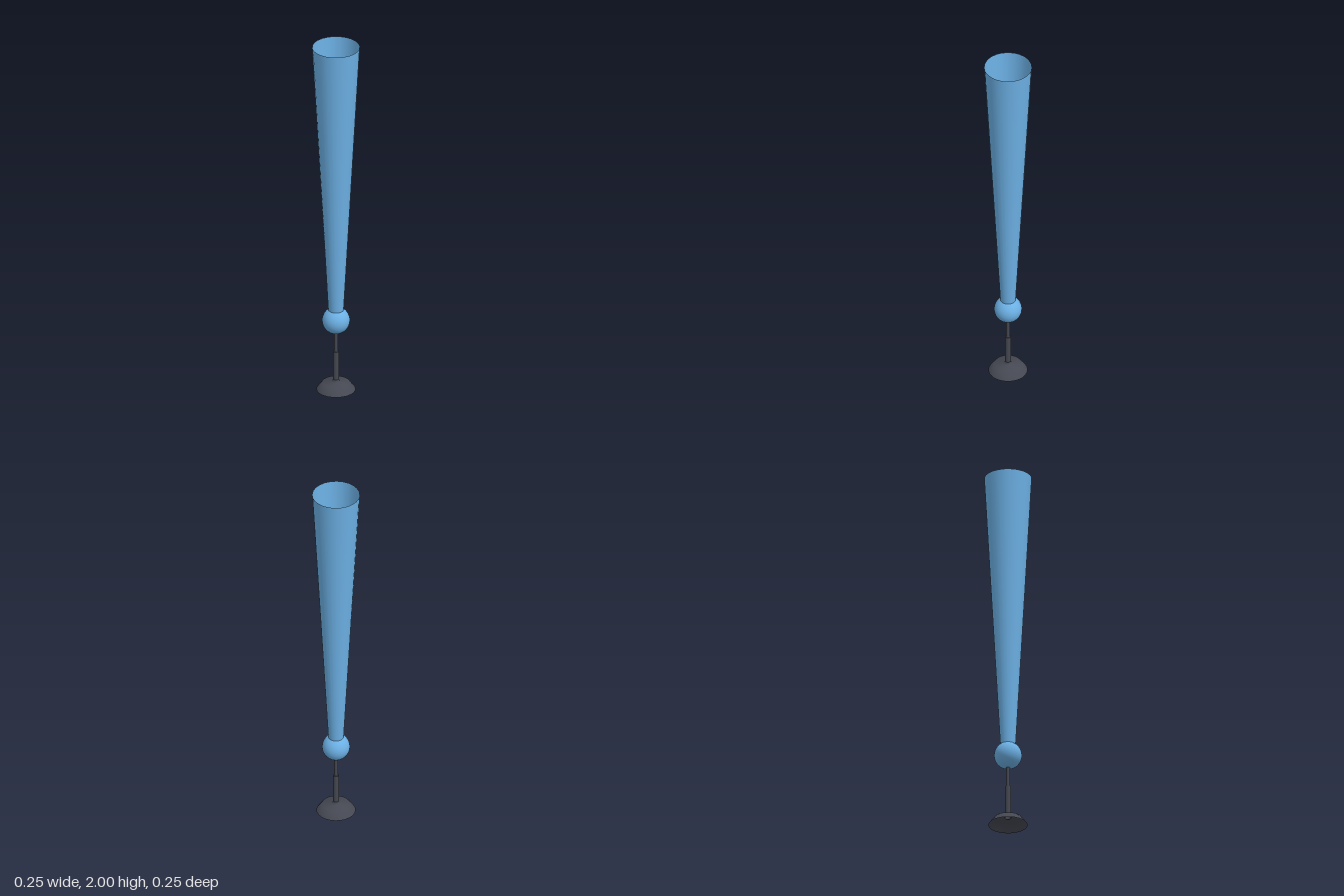
import * as THREE from 'three';

const SEGMENTS = 24;

// Revolve a short [radius, height] profile about y, bottom to top.
function turned(name, points, material) {
  const profile = points.map(([r, y]) => new THREE.Vector2(r, y));
  const mesh = new THREE.Mesh(new THREE.LatheGeometry(profile, SEGMENTS), material);
  mesh.name = name;
  return mesh;
}

export function createModel() {
  const group = new THREE.Group();
  group.name = 'goblet';

  const blue = new THREE.MeshStandardMaterial({ color: 0x6cb0e4, side: THREE.DoubleSide });
  blue.name = 'blue glass';
  const dark = new THREE.MeshStandardMaterial({ color: 0x454852, side: THREE.DoubleSide });
  dark.name = 'dark metal';

  // Hollow flared foot, smoothly shaded up to a small collar
  group.add(turned('foot', [[0.103, 0], [0.073, 0.04], [0.019, 0.042], [0.016, 0.06]], dark));

  // Stem in two thicknesses
  group.add(turned('lowerStem', [[0.016, 0.04], [0.015, 0.22]], dark));
  group.add(turned('stemShoulder', [[0.015, 0.22], [0.011, 0.22]], dark));
  group.add(turned('upperStem', [[0.011, 0.22], [0.011, 0.345]], dark));

  // Ball joint, also the floor of the flute
  const ball = new THREE.Mesh(new THREE.SphereGeometry(0.073, 32, 20), blue);
  ball.name = 'ball';
  ball.position.y = 0.402;
  group.add(ball);

  // Tall open flute, a thin shell
  group.add(turned('flute', [[0.04, 0.463], [0.125, 2]], blue));

  return group;
}
